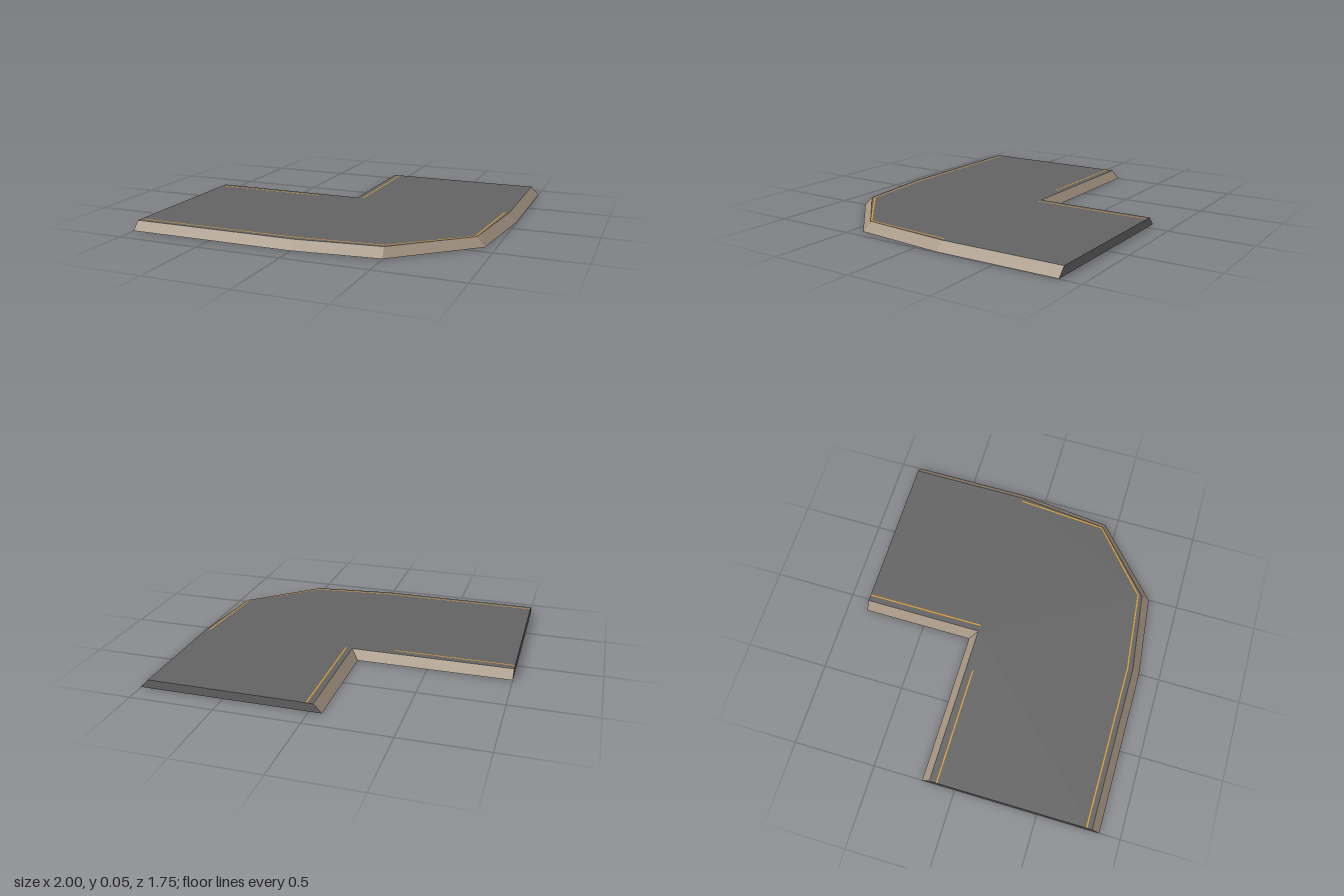
import * as THREE from 'three';

const material = (name, color) => {
  const m = new THREE.MeshStandardMaterial({ color });
  m.name = name;
  return m;
};

export function createModel() {
  const model = new THREE.Group();
  model.name = 'roadCorner';

  const asphalt = material('asphalt grey', 0x646363);
  const earth = material('earth tan', 0xa39381);
  const paint = material('line yellow', 0xd9992b);

  const BASE = 0.002, TOP = 0.053;

  // Outlines as [x, z] at the foot and at the road surface
  const foot = [[-1, 0.875], [0, 0.875], [0.5, 0.82], [0.94, 0.425], [1, -0.14],
    [1, -0.875], [-0.075, -0.875], [-0.075, -0.2], [-1, -0.2]];
  const rim = [[-1, 0.828], [0, 0.828], [0.49, 0.77], [0.893, 0.41], [0.951, -0.145],
    [0.951, -0.875], [-0.027, -0.875], [-0.027, -0.152], [-1, -0.152]];
  const capEdges = [5, 8];

  const add = (name, geometry, mat) => {
    const mesh = new THREE.Mesh(geometry, mat);
    mesh.name = name;
    model.add(mesh);
  };

  // Flat horizontal polygon facing up or down
  const flat = (name, points, y, up, mat) => {
    const s = up ? -1 : 1;
    const shape = new THREE.Shape(points.map(([x, z]) => new THREE.Vector2(x, s * z)));
    add(name, new THREE.ShapeGeometry(shape).rotateX(s * Math.PI / 2).translate(0, y, 0), mat);
  };

  // Side quads between the foot and the rim
  const sides = (name, edges, mat) => {
    const positions = [];
    for (const i of edges) {
      const j = (i + 1) % foot.length;
      const a = [foot[i][0], BASE, foot[i][1]], b = [foot[j][0], BASE, foot[j][1]];
      const c = [rim[j][0], TOP, rim[j][1]], d = [rim[i][0], TOP, rim[i][1]];
      positions.push(...a, ...b, ...c, ...a, ...c, ...d);
    }
    const geometry = new THREE.BufferGeometry();
    geometry.setAttribute('position', new THREE.Float32BufferAttribute(positions, 3));
    geometry.computeVertexNormals();
    add(name, geometry, mat);
  };

  flat('roadSurface', rim, TOP, true, asphalt);
  flat('underside', foot, BASE, false, asphalt);
  sides('slopedBanks', foot.map((_, i) => i).filter((i) => !capEdges.includes(i)), earth);
  sides('roadEnds', capEdges, asphalt);

  // Thin painted edge lines on the road
  const line = (name, [x1, z1], [x2, z2], width = 0.008) => {
    const length = Math.hypot(x2 - x1, z2 - z1);
    const nx = -(z2 - z1) / length * width / 2, nz = (x2 - x1) / length * width / 2;
    flat(name, [[x1 + nx, z1 + nz], [x2 + nx, z2 + nz], [x2 - nx, z2 - nz], [x1 - nx, z1 - nz]],
      TOP + 0.001, true, paint);
  };
  line('innerLineBack', [0.012, -0.875], [0.012, -0.15]);
  line('innerLineSide', [-1, -0.108], [-0.28, -0.108]);
  const outer = [[-1, 0.795], [0, 0.795], [0.49, 0.745], [0.885, 0.41], [0.927, -0.14]];
  for (let i = 0; i < outer.length - 1; i++) line('outerLine' + (i + 1), outer[i], outer[i + 1]);

  // Marks on the underside
  flat('undersideStripe', [[0.36, -0.875], [0.43, -0.875], [0.43, 0.1], [0.395, 0.14], [0.36, 0.1]],
    0, false, paint);
  flat('undersideBankStrip', [[-0.075, -0.875], [0.05, -0.875], [0.03, -0.6], [0.06, -0.4],
    [0.06, -0.14], [0.03, -0.09], [-0.03, -0.13], [-0.075, -0.2]], 0, false, earth);

  return model;
}
